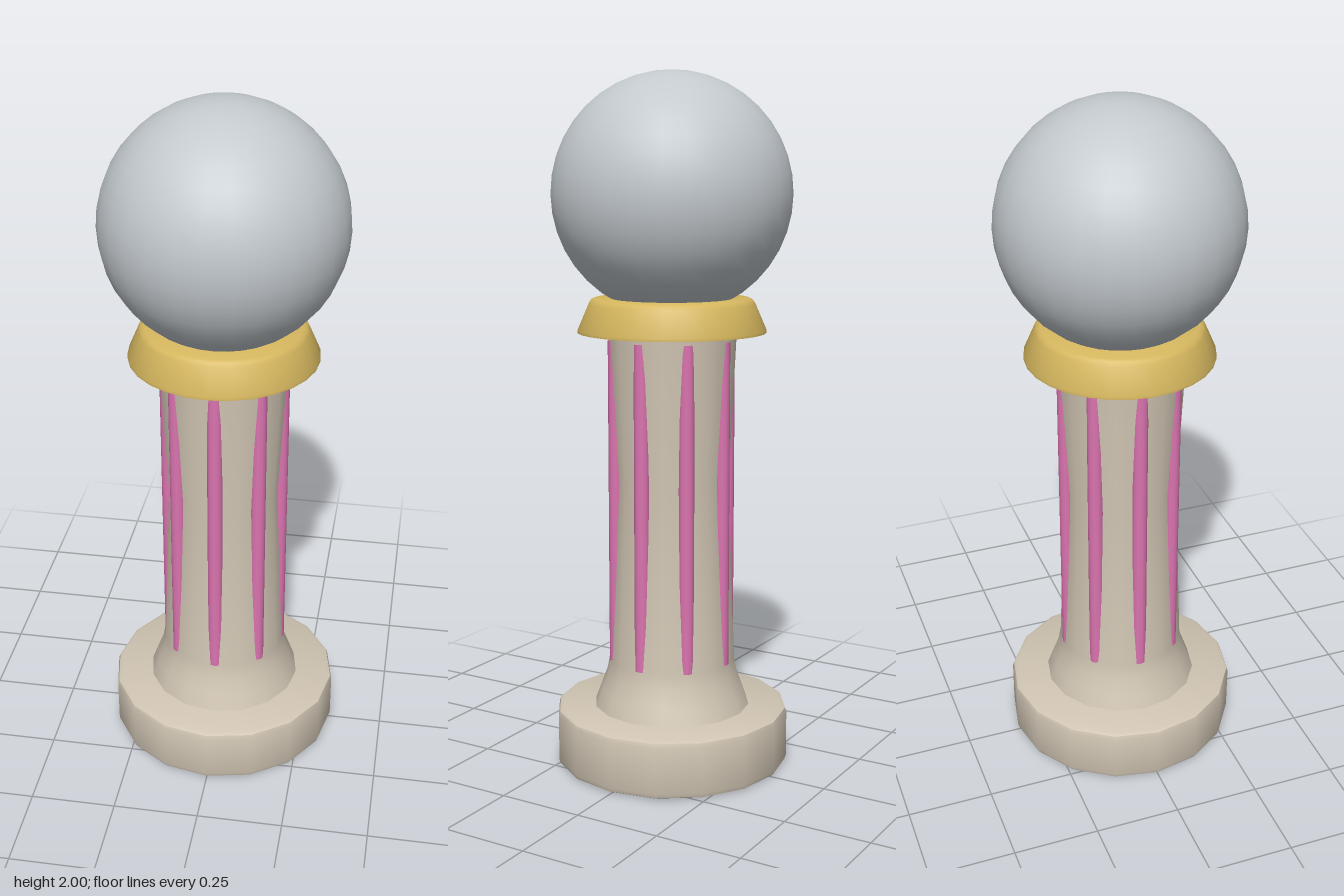
import * as THREE from 'three';
import { toCreasedNormals } from 'three/addons/utils/BufferGeometryUtils.js';

const material = (name, color) => {
  const m = new THREE.MeshStandardMaterial({ color });
  m.name = name;
  return m;
};

// Turned solid from [radius, height] points listed bottom to top
const turned = (points, sides, crease) => toCreasedNormals(
  new THREE.LatheGeometry(points.map(([r, y]) => new THREE.Vector2(r, y)), sides), crease);

export function createModel() {
  const group = new THREE.Group();
  group.name = 'pillarWithOrb';
  const stone = material('stone', 0xd0c5b3);
  const gold = material('gold', 0xd6b75f);
  const pink = material('pink', 0xdb74b0);
  const silver = material('silver', 0xc3c9ce);

  const add = (name, geometry, mat, x = 0, y = 0, z = 0) => {
    const mesh = new THREE.Mesh(geometry, mat);
    mesh.name = name;
    mesh.position.set(x, y, z);
    group.add(mesh);
  };

  // Round foot with bevelled rims
  add('base', turned([
    [0, 0], [0.325, 0], [0.337, 0.006], [0.341, 0.018],
    [0.341, 0.152], [0.337, 0.164], [0.325, 0.17], [0, 0.17],
  ], 16, 0.75), stone);

  // Waisted shaft with a flared bottom
  add('shaft', turned([
    [0.23, 0.165], [0.21, 0.22], [0.193, 0.265], [0.185, 0.31],
    [0.165, 0.84], [0.185, 1.25], [0.186, 1.29],
  ], 16, 1), stone);

  // Eight straight rods half sunk into the shaft
  const rod = new THREE.CylinderGeometry(0.022, 0.022, 0.94, 12);
  for (let i = 0; i < 8; i++) {
    const a = i * Math.PI / 4;
    add('rod' + (i + 1), rod, pink, 0.165 * Math.sin(a), 0.78, 0.165 * Math.cos(a));
  }

  // Sloping collar under the orb
  add('collar', turned([
    [0, 1.27], [0.27, 1.27], [0.27, 1.278], [0.238, 1.352],
    [0.232, 1.362], [0.222, 1.367], [0, 1.367],
  ], 28, 0.75), gold);

  // Orb
  add('orb', new THREE.SphereGeometry(0.341, 28, 20), silver, 0, 1.659, 0);

  return group;
}
